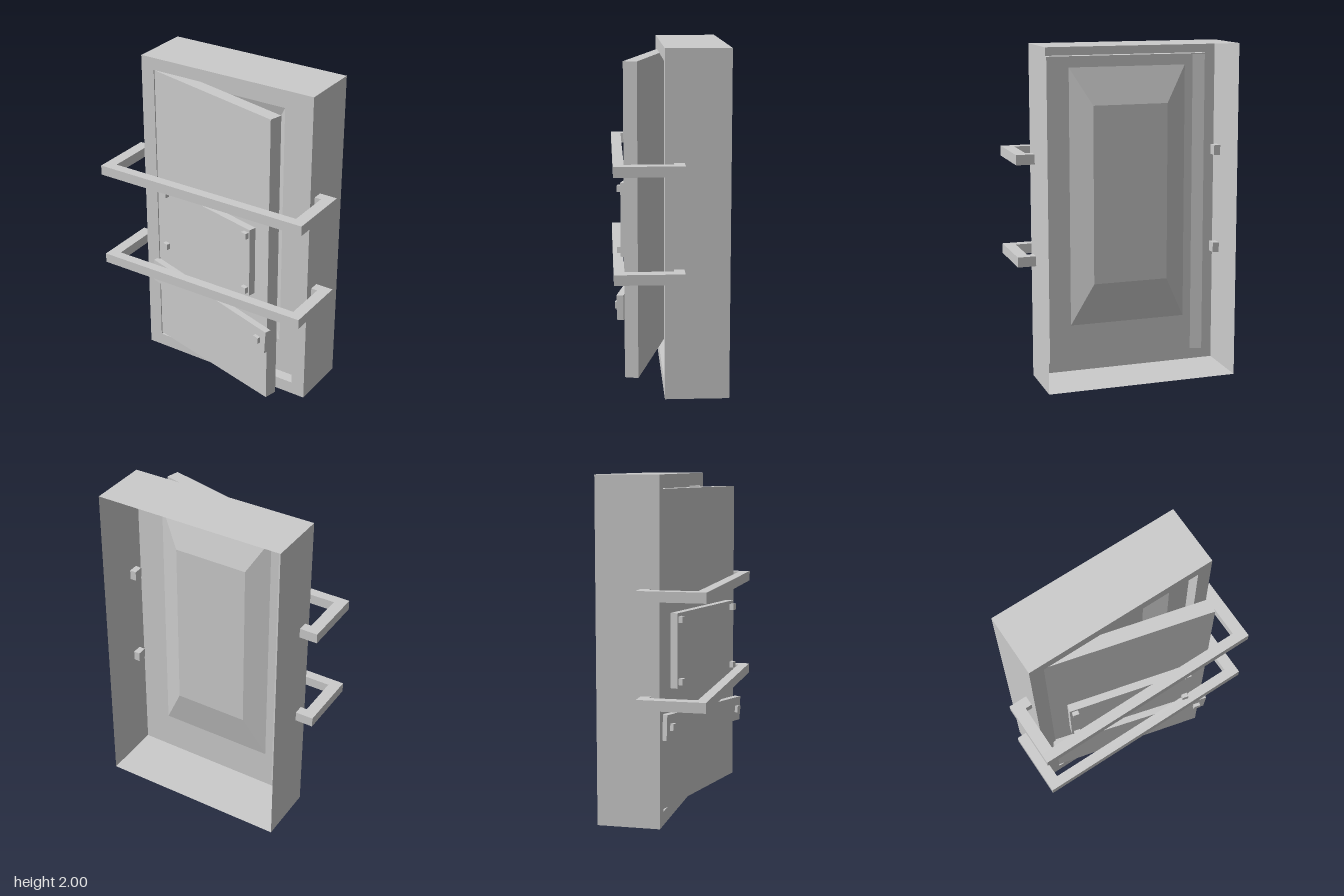
import * as THREE from 'three';

const mat = new THREE.MeshStandardMaterial({ color: 0xcccccc, flatShading: true });
const shellMat = new THREE.MeshStandardMaterial({ color: 0xcccccc, flatShading: true, side: THREE.DoubleSide });

function box(name, w, h, d, x, y, z, parent) {
  const m = new THREE.Mesh(new THREE.BoxGeometry(w, h, d), mat);
  m.name = name;
  m.position.set(x, y, z);
  parent.add(m);
  return m;
}

// Joins rectangular loops [halfWidth, bottom, top, z] into a flat-shaded shell and caps the last one
function rectLoft(loops) {
  const rings = loops.map(([w, y0, y1, z]) => [[-w, y0, z], [w, y0, z], [w, y1, z], [-w, y1, z]]);
  const pos = [];
  const quad = (a, b, c, d) => pos.push(...a, ...b, ...c, ...a, ...c, ...d);
  for (let r = 0; r < rings.length - 1; r++) {
    for (let i = 0; i < 4; i++) {
      const j = (i + 1) % 4;
      quad(rings[r][i], rings[r][j], rings[r + 1][j], rings[r + 1][i]);
    }
  }
  quad(...rings[rings.length - 1]);
  const g = new THREE.BufferGeometry();
  g.setAttribute('position', new THREE.Float32BufferAttribute(pos, 3));
  g.computeVertexNormals();
  return g;
}

export function createModel() {
  const model = new THREE.Group();
  model.name = 'barredDoorway';

  // Thin frame, open at the back, with a recessed panel behind the door
  const frame = new THREE.Mesh(rectLoft([
    [0.58, 0, 2, -0.33],
    [0.58, 0, 2, 0.04],
    [0.493, 0.08, 1.925, 0.04],
    [0.493, 0.08, 1.925, -0.03],
    [0.36, 0.31, 1.86, -0.03],
    [0.23, 0.57, 1.64, -0.09],
  ]), shellMat);
  frame.name = 'frame';
  model.add(frame);

  // Door, ajar, hinged at its front edge
  const door = new THREE.Group();
  door.name = 'door';
  door.position.set(-0.5, 0, 0.03);
  door.rotation.y = -THREE.MathUtils.degToRad(14);
  model.add(door);
  box('doorSlab', 0.975, 1.83, 0.08, 0.4875, 1.005, -0.04, door);

  // Bolted plate
  box('plate', 0.755, 0.435, 0.045, 0.49, 1.0, 0.0225, door);
  for (const x of [0.144, 0.84]) {
    for (const y of [0.82, 1.18]) box('plateBolt', 0.037, 0.037, 0.025, x, y, 0.0575, door);
  }

  // Crooked plank with a bolt at each end
  const plank = new THREE.Group();
  plank.name = 'plank';
  plank.position.set(0.495, 0.545, 0);
  plank.rotation.z = -0.06;
  door.add(plank);
  box('plankBoard', 1.01, 0.148, 0.04, 0, 0, 0.02, plank);
  for (const x of [-0.445, 0.445]) box('plankBolt', 0.04, 0.04, 0.02, x, 0, 0.05, plank);

  // Two bars across the front, their ends turned in through the frame sides
  for (const y of [0.735, 1.34]) {
    const bar = new THREE.Group();
    bar.name = 'bar';
    bar.position.y = y;
    model.add(bar);
    box('barFront', 1.38, 0.06, 0.06, 0, 0, 0.297, bar);
    for (const s of [-1, 1]) {
      box('barSide', 0.07, 0.06, 0.277, s * 0.655, 0, 0.1285, bar);
      box('barEnd', 0.15, 0.06, 0.06, s * 0.615, 0, -0.04, bar);
    }
  }
  return model;
}
